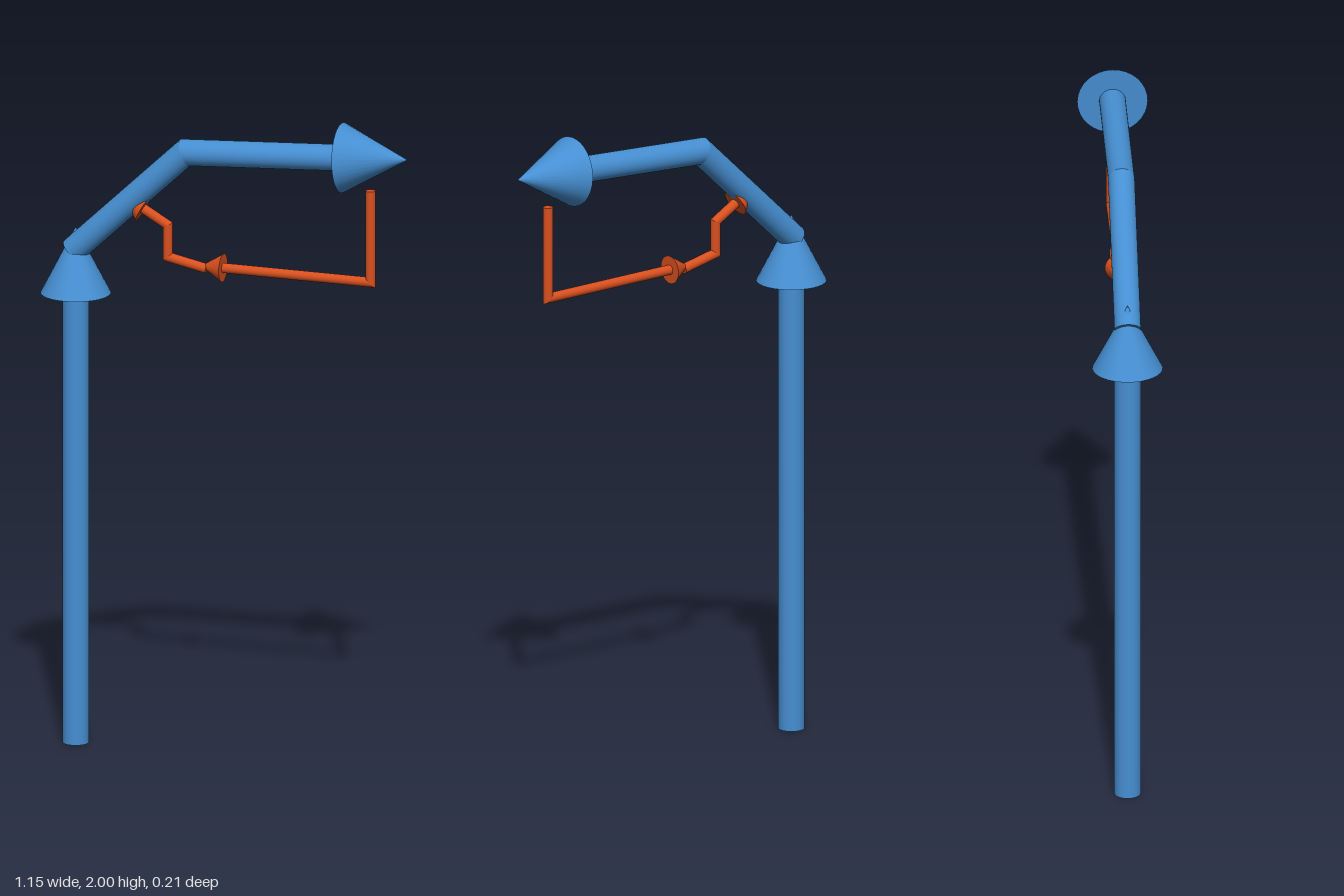
import * as THREE from 'three';

const SIDES = 32;
const UP = new THREE.Vector3(0, 1, 0);

// Straight rod from a to b whose end rings lie on the planes with normals na and nb
function mitredRod(a, b, radius, na, nb) {
  const dir = b.clone().sub(a);
  const length = dir.length();
  dir.normalize();
  const geo = new THREE.CylinderGeometry(radius, radius, length, SIDES);
  const pos = geo.attributes.position;
  const turn = new THREE.Quaternion().setFromUnitVectors(UP, dir);
  const mid = a.clone().add(b).multiplyScalar(0.5);
  geo.applyQuaternion(turn);
  geo.translate(mid.x, mid.y, mid.z);
  const p = new THREE.Vector3();
  for (let i = 0; i < pos.count; i++) {
    p.fromBufferAttribute(pos, i);
    const atEnd = p.clone().sub(mid).dot(dir) > 0;
    const joint = atEnd ? b : a;
    const n = atEnd ? nb : na;
    // slide along the rod onto the mitre plane
    p.addScaledVector(dir, -p.clone().sub(joint).dot(n) / dir.dot(n));
    pos.setXYZ(i, p.x, p.y, p.z);
  }
  return geo;
}

// Arrow: mitred shaft through the points, with a cone from the last point to the tip
function arrow(name, points, tip, shaftRadius, headRadius, material) {
  const group = new THREE.Group();
  group.name = name;
  const pts = points.map(([x, y]) => new THREE.Vector3(x, y, 0));
  const dirs = pts.slice(1).map((p, i) => p.clone().sub(pts[i]).normalize());
  const normals = pts.map((_, i) => {
    const before = dirs[Math.max(i - 1, 0)];
    const after = dirs[Math.min(i, dirs.length - 1)];
    return before.clone().add(after).normalize();
  });
  for (let i = 0; i < dirs.length; i++) {
    const geo = mitredRod(pts[i], pts[i + 1], shaftRadius, normals[i], normals[i + 1]);
    const rod = new THREE.Mesh(geo, material);
    rod.name = name + 'Shaft' + (i + 1);
    group.add(rod);
  }

  const base = pts[pts.length - 1];
  const end = new THREE.Vector3(tip[0], tip[1], 0);
  const axis = end.clone().sub(base);
  const head = new THREE.Mesh(new THREE.ConeGeometry(headRadius, axis.length(), SIDES), material);
  head.name = name + 'Head';
  head.position.copy(base).add(end).multiplyScalar(0.5);
  head.quaternion.setFromUnitVectors(UP, axis.normalize());
  group.add(head);
  return group;
}

export function createModel() {
  const blue = new THREE.MeshStandardMaterial({ color: 0x468fd2 });
  blue.name = 'blue';
  const orange = new THREE.MeshStandardMaterial({ color: 0xd8501f });
  orange.name = 'orange';

  const model = new THREE.Group();
  model.name = 'bentArrows';
  model.add(
    // Thick arrows: upright, then the bent one leaving its tip
    arrow('uprightArrow', [[-0.474, 0], [-0.474, 1.4]], [-0.474, 1.605], 0.04, 0.106, blue),
    arrow('bentArrow', [[-0.483, 1.53], [-0.127, 1.867], [0.37, 1.895]], [0.575, 1.906], 0.04, 0.106, blue),
    // Thin return arrows
    arrow('lowerReturnArrow', [[0.458, 1.8], [0.458, 1.515], [-0.008, 1.518]], [-0.078, 1.518], 0.015, 0.043, orange),
    arrow('upperReturnArrow', [[-0.06, 1.511], [-0.183, 1.537], [-0.183, 1.636], [-0.26, 1.68]], [-0.323, 1.715], 0.015, 0.043, orange),
  );
  return model;
}
